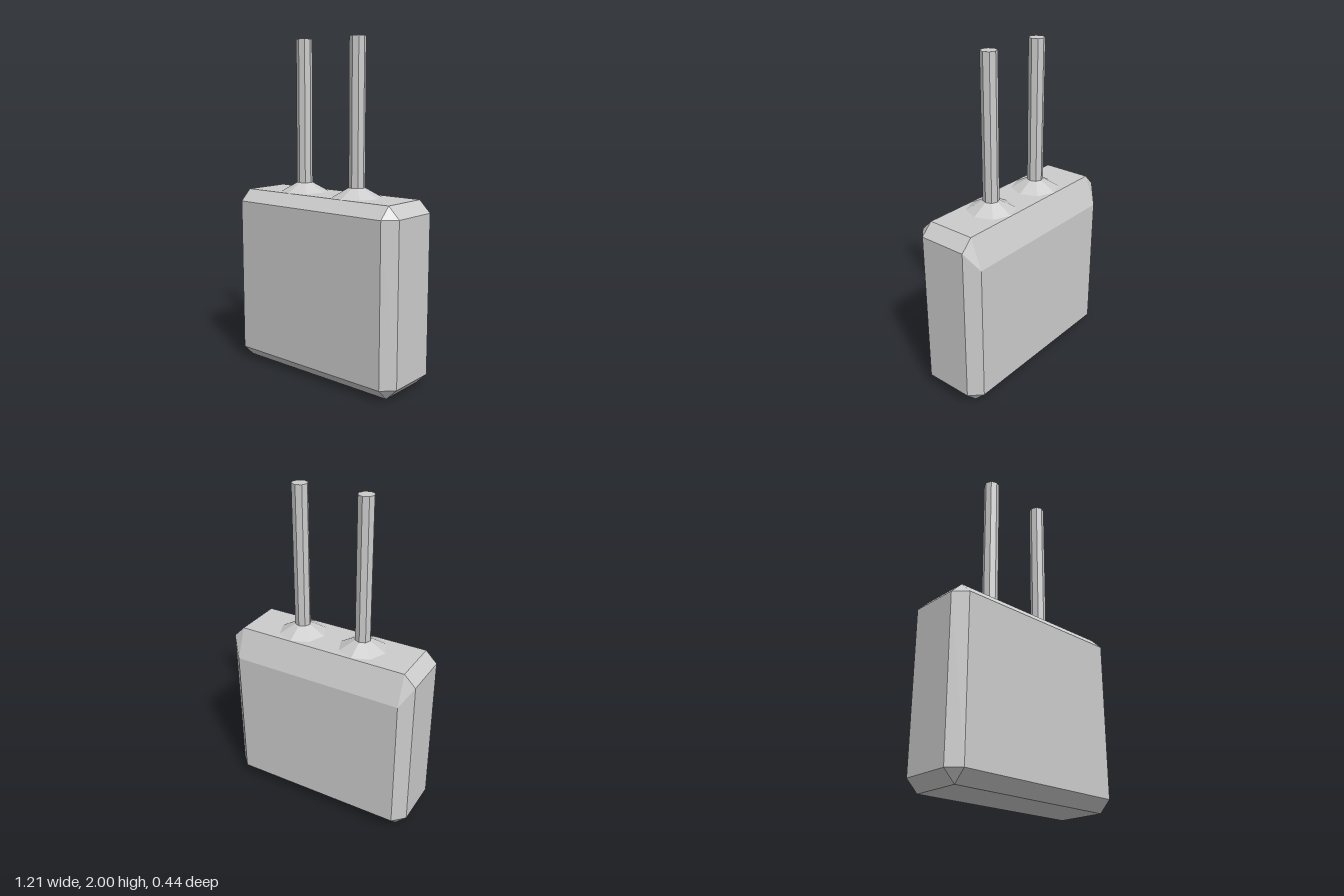
import * as THREE from 'three';
import { ConvexGeometry } from 'three/addons/geometries/ConvexGeometry.js';

const material = new THREE.MeshStandardMaterial({ color: 0xcccccc, flatShading: true });

// Box with every edge bevelled; the rear top bevel reaches further down the back.
function bevelledBody(halfX, height, halfZ, bevel, rearDrop) {
  const points = [];
  for (const sx of [-1, 1]) for (const sz of [-1, 1]) for (const top of [false, true]) {
    const x = halfX - bevel, z = halfZ - bevel;
    const sideY = top ? height - bevel : bevel;
    const faceY = top && sz < 0 ? height - rearDrop : sideY;
    points.push(
      new THREE.Vector3(sx * x, top ? height : 0, sz * z),
      new THREE.Vector3(sx * halfX, sideY, sz * z),
      new THREE.Vector3(sx * x, faceY, sz * halfZ)
    );
  }
  return new ConvexGeometry(points);
}

export function createModel() {
  const model = new THREE.Group();
  const bodyTop = 1.09, collarTop = 1.145, pinTop = 2;

  const body = new THREE.Mesh(bevelledBody(0.607, bodyTop, 0.22, 0.07, 0.18), material);
  body.name = 'body';
  model.add(body);

  // Two eight-sided pins, each rising from a flared collar
  for (const side of [-1, 1]) {
    const lead = new THREE.Group();
    lead.name = side > 0 ? 'leftLead' : 'rightLead';
    lead.position.x = side * 0.203;

    const collarHeight = collarTop - bodyTop;
    const collar = new THREE.Mesh(
      new THREE.CylinderGeometry(0.048, 0.145, collarHeight, 8, 1, true), material);
    collar.name = 'collar';
    collar.position.y = bodyTop + collarHeight / 2;

    const pinHeight = pinTop - collarTop;
    const pin = new THREE.Mesh(new THREE.CylinderGeometry(0.048, 0.048, pinHeight, 8), material);
    pin.name = 'pin';
    pin.position.y = collarTop + pinHeight / 2;

    lead.add(collar, pin);
    model.add(lead);
  }
  return model;
}
